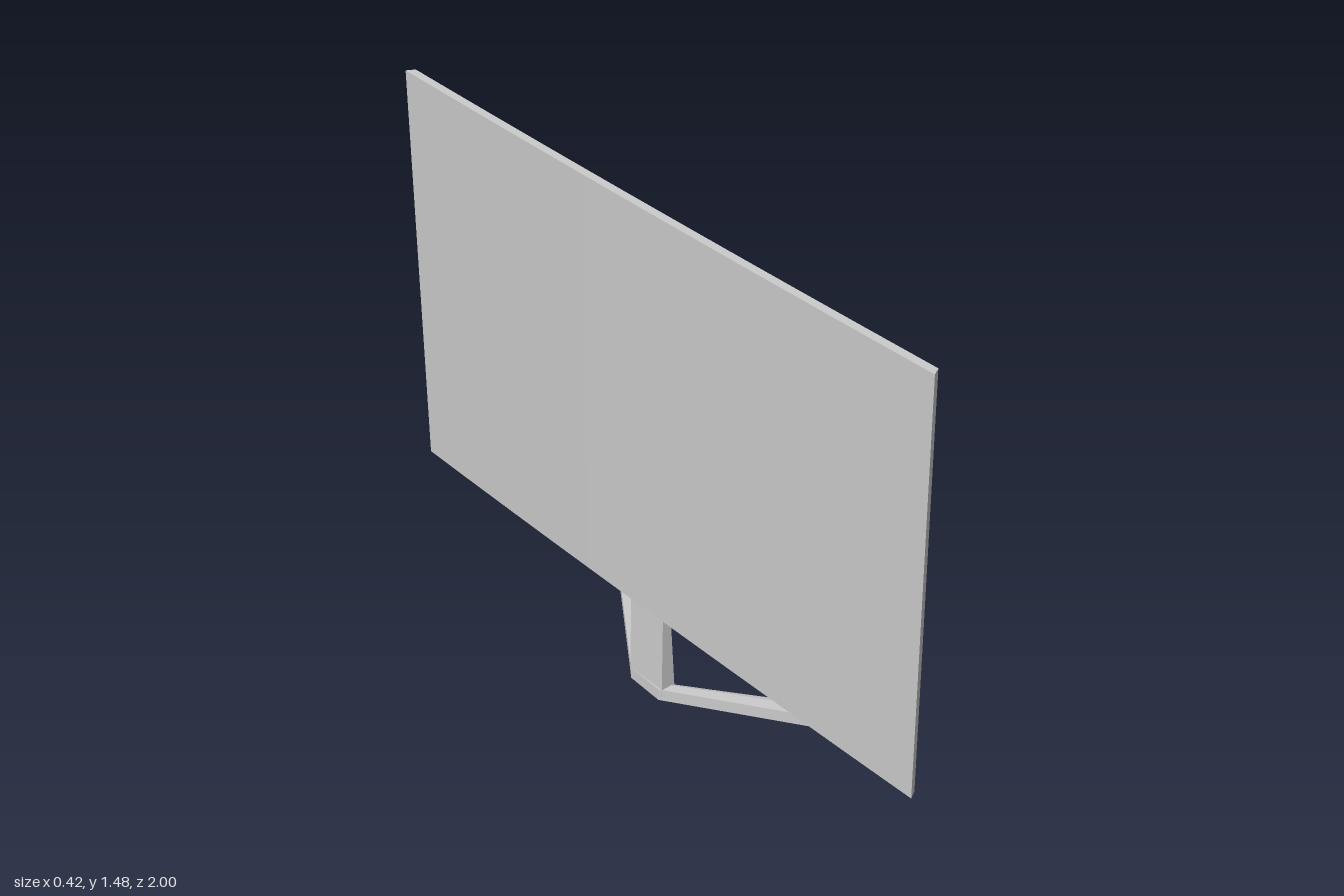
import * as THREE from 'three';

const grey = new THREE.MeshStandardMaterial({ color: 0xcccccc });

// Screen sizes: x is measured from the back of the panel
const THICK = 0.024, FLOOR = 0.008;
const Y0 = 0.265, Y1 = 1.48, INNER_Y0 = 0.33, INNER_Y1 = 1.43, INNER_Z = 0.94;

// Box between two corners, slanted at the ends, then bent and turned slightly
function panelBox(name, x0, x1, y0, y1, z0, z1, segments) {
  const g = new THREE.BoxGeometry(x1 - x0, y1 - y0, z1 - z0, 1, 1, segments);
  g.translate((x0 + x1) / 2, (y0 + y1) / 2, (z0 + z1) / 2);
  const p = g.attributes.position;
  for (let i = 0; i < p.count; i++) {
    const x = p.getX(i);
    let z = p.getZ(i);
    if (Math.abs(z) > 0.99) z -= Math.sign(z) * 0.013 * (x / THICK);
    p.setXYZ(i, x - 0.1915 - 0.0135 * z - 0.008 * (1 - z * z), p.getY(i), z);
  }
  g.computeVertexNormals();
  const mesh = new THREE.Mesh(g, grey);
  mesh.name = name;
  return mesh;
}

// Loft closed rings of points, capped at both ends
function loft(name, rings) {
  const n = rings[0].length, pos = [];
  const tri = (...pts) => pts.forEach((p) => pos.push(...p));
  for (let i = 0; i < rings.length - 1; i++) {
    for (let j = 0; j < n; j++) {
      const k = (j + 1) % n;
      const [a, b, c, d] = [rings[i][j], rings[i + 1][j], rings[i][k], rings[i + 1][k]];
      tri(a, b, c);
      tri(b, d, c);
    }
  }
  const first = rings[0], last = rings[rings.length - 1];
  for (let j = 1; j < n - 1; j++) {
    tri(first[0], first[j], first[j + 1]);
    tri(last[0], last[j + 1], last[j]);
  }
  const g = new THREE.BufferGeometry();
  g.setAttribute('position', new THREE.Float32BufferAttribute(pos, 3));
  g.computeVertexNormals();
  const mesh = new THREE.Mesh(g, grey);
  mesh.name = name;
  return mesh;
}

export function createModel() {
  const model = new THREE.Group();
  model.name = 'monitor';

  // Screen: thin back panel with a raised bezel around the display
  const screen = new THREE.Group();
  screen.name = 'screen';
  screen.add(
    panelBox('displayPanel', 0, FLOOR, Y0, Y1, -1, 1, 24),
    panelBox('topBezel', FLOOR, THICK, INNER_Y1, Y1, -1, 1, 24),
    panelBox('bottomBezel', FLOOR, THICK, Y0, INNER_Y0, -1, 1, 24),
    panelBox('leftBezel', FLOOR, THICK, INNER_Y0, INNER_Y1, INNER_Z, 1, 1),
    panelBox('rightBezel', FLOOR, THICK, INNER_Y0, INNER_Y1, -1, -INNER_Z, 1),
  );
  model.add(screen);

  // Neck: tapers from the base up to the lower edge of the screen
  const neckEnd = (z) => {
    const s = -0.0135 * z;
    return [[-0.206 + s, 0.015, z], [-0.199 + s, 0.268, z], [-0.172 + s, 0.268, z], [-0.16 + s, 0.015, z]];
  };
  model.add(loft('neck', [neckEnd(-0.07), neckEnd(0.064)]));

  // Base: one V-shaped bar with a flat top rounded down to its inner edge
  const section = [[0, 0], [0, 0.036], [0.5, 0.036], [0.66, 0.033], [0.8, 0.026], [0.92, 0.014], [1, 0]];
  // Each station: outer x, outer z, inner x, inner z
  const stations = [
    [0.11, -0.51, 0.205, -0.478],
    [-0.205, -0.067, -0.14, -0.077],
    [-0.211, 0.055, -0.143, 0.06],
    [0.082, 0.5, 0.176, 0.472],
  ];
  model.add(loft('base', stations.map(([ox, oz, ix, iz]) =>
    section.map(([u, y]) => [ox + (ix - ox) * u, y, oz + (iz - oz) * u]))));

  return model;
}
